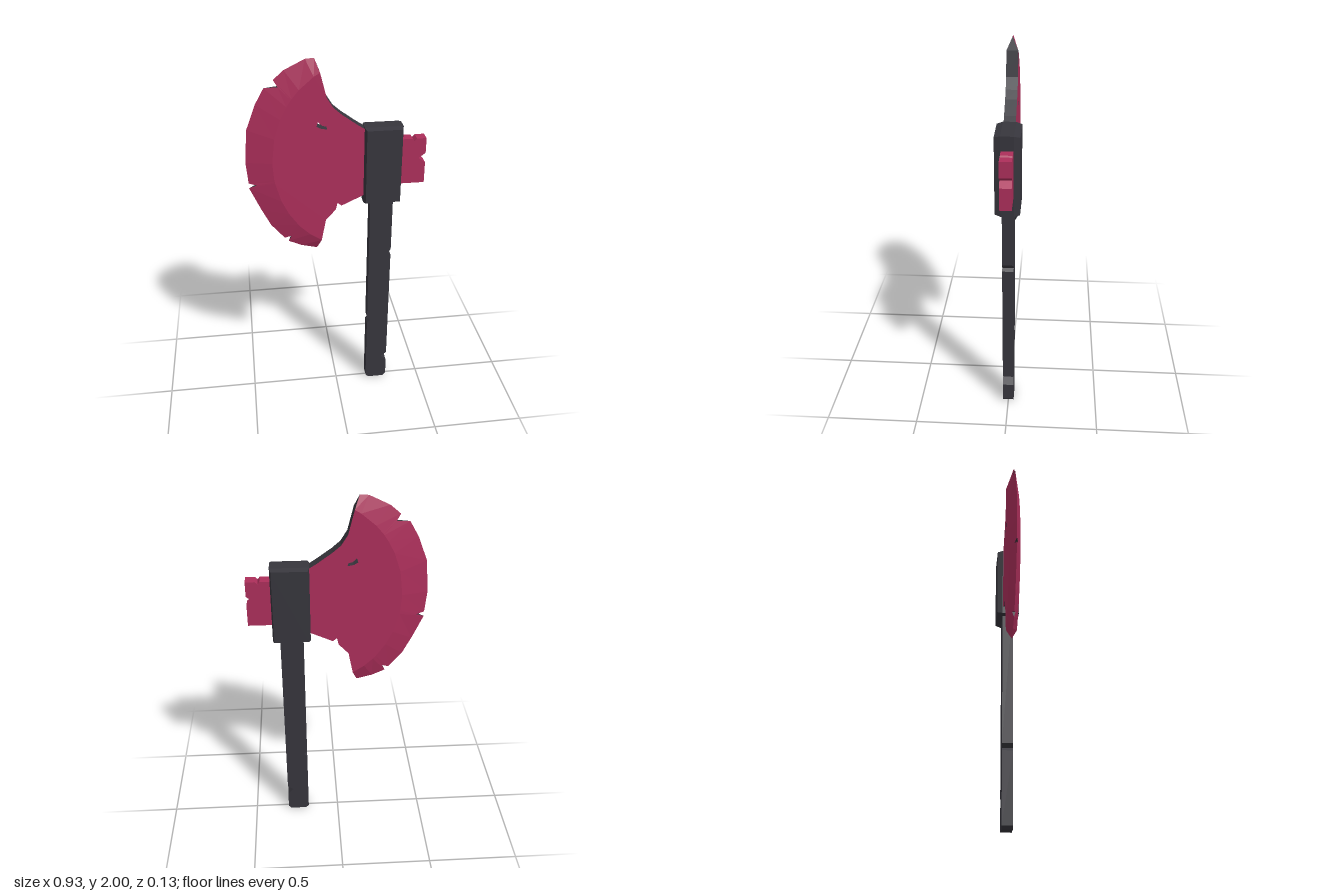
import * as THREE from 'three';

const HALF = 0.03; // half thickness of the flat parts

const crimson = new THREE.MeshStandardMaterial({ color: 0xad2f5b });
crimson.name = 'crimson';
const charcoal = new THREE.MeshStandardMaterial({ color: 0x37363d });
charcoal.name = 'charcoal';

const toPoints = (list) => list.map(([x, y]) => new THREE.Vector2(x, y));

// Flat part cut from an outline, centred on z = 0
function plate(name, outline, material, hole) {
  const shape = new THREE.Shape(toPoints(outline));
  if (hole) shape.holes.push(new THREE.Path(toPoints(hole)));
  const geometry = new THREE.ExtrudeGeometry(shape, { depth: 2 * HALF, bevelEnabled: false });
  geometry.translate(0, 0, -HALF);
  const mesh = new THREE.Mesh(geometry, material);
  mesh.name = name;
  return mesh;
}

// Cutting edge from top tip to bottom tip; the third value marks a nick and its relative thickness
const EDGE = [
  [-0.106, 2.0], [-0.15, 1.997], [-0.254, 1.946], [-0.307, 1.9], [-0.286, 1.866, 0.32],
  [-0.354, 1.861], [-0.4, 1.78], [-0.45, 1.65], [-0.465, 1.474], [-0.455, 1.357],
  [-0.413, 1.347, 0.32], [-0.455, 1.33], [-0.397, 1.198], [-0.35, 1.103], [-0.28, 1.018],
  [-0.243, 1.034, 0.32], [-0.26, 0.997], [-0.19, 0.965], [-0.106, 0.944],
];

// Ridge where the bevel meets the flat of the blade: an ellipse seen from its centre
const RIDGE = EDGE.map(([x, y]) => {
  const dx = x - 0.1, dy = y - 1.47;
  const t = 1 / Math.hypot(dx / 0.43, dy / 0.513);
  return [0.1 + dx * t, 1.47 + dy * t];
});

// Sharpened bevel: strips from ridge to edge on both faces, plus the nick walls and tip ends
function bladeBevel() {
  const faces = [], walls = [];
  const quad = (out, a, b, c, d) => out.push(...a, ...b, ...c, ...a, ...c, ...d);
  const edge = (i, s) => [EDGE[i][0], EDGE[i][1], s * HALF * (EDGE[i][2] || 0)];
  const ridge = (i, s) => [RIDGE[i][0], RIDGE[i][1], s * HALF];
  const last = EDGE.length - 1;
  for (let i = 0; i < last; i++) {
    const j = i + 1;
    quad(faces, edge(i, 1), edge(j, 1), ridge(j, 1), ridge(i, 1));
    quad(faces, ridge(i, -1), ridge(j, -1), edge(j, -1), edge(i, -1));
    if (EDGE[i][2]) walls.push(...edge(i, 1), ...edge(i, -1), ...edge(j, 1));
    if (EDGE[j][2]) walls.push(...edge(i, 1), ...edge(j, -1), ...edge(j, 1));
  }
  walls.push(...edge(0, 1), ...ridge(0, 1), ...ridge(0, -1));
  walls.push(...edge(last, 1), ...ridge(last, -1), ...ridge(last, 1));

  const geometry = new THREE.BufferGeometry();
  geometry.setAttribute('position', new THREE.Float32BufferAttribute([...faces, ...walls], 3));
  geometry.addGroup(0, faces.length / 3, 0);
  geometry.addGroup(faces.length / 3, walls.length / 3, 1);
  geometry.computeVertexNormals();
  const mesh = new THREE.Mesh(geometry, [crimson, charcoal]);
  mesh.name = 'bladeBevel';
  return mesh;
}

export function createModel() {
  const model = new THREE.Group();
  model.name = 'battleAxe';

  // Blade: flat body with dark rims and a small worn hole
  const lowerRim = [[-0.058, 1.13], [-0.005, 1.188], [0.004, 1.228], [0.026, 1.21], [0.148, 1.267], [0.2, 1.29]];
  const upperRim = [[0.2, 1.61], [0.148, 1.633], [0.106, 1.66], [0.026, 1.718], [-0.016, 1.755], [-0.05, 1.81]];
  const hole = [[-0.095, 1.686], [-0.074, 1.665], [-0.053, 1.66], [-0.048, 1.644], [-0.08, 1.65], [-0.102, 1.662]];
  const blade = new THREE.Group();
  blade.name = 'blade';
  blade.add(plate('bladeBody', [...RIDGE, ...lowerRim, ...upperRim], [crimson, charcoal], hole), bladeBevel());
  model.add(blade);

  // Handle with chipped sides and trimmed bottom corners
  model.add(plate('handle', [
    [0.195, 0], [0.288, 0], [0.303, 0.018], [0.303, 0.12], [0.27, 0.157], [0.303, 0.18],
    [0.303, 0.88], [0.289, 0.895], [0.303, 0.918], [0.303, 1.3], [0.18, 1.3],
    [0.18, 0.455], [0.197, 0.433], [0.18, 0.415], [0.18, 0.018],
  ], charcoal));

  // Back tab with notches on top and at the end
  model.add(plate('backTab', [
    [0.3, 1.32], [0.465, 1.32], [0.465, 1.435], [0.43, 1.461], [0.465, 1.488], [0.465, 1.57],
    [0.415, 1.57], [0.402, 1.556], [0.392, 1.57], [0.3, 1.57],
  ], crimson));

  // Socket block with chamfered edges
  const block = new THREE.Shape(toPoints([[0.15, 1.23], [0.333, 1.23], [0.333, 1.636], [0.15, 1.636]]));
  const socketGeometry = new THREE.ExtrudeGeometry(block, {
    depth: 0.066, bevelThickness: 0.03, bevelSize: 0.008, bevelSegments: 1,
  });
  socketGeometry.translate(0, 0, -0.033);
  const socket = new THREE.Mesh(socketGeometry, charcoal);
  socket.name = 'socket';
  model.add(socket);

  return model;
}
